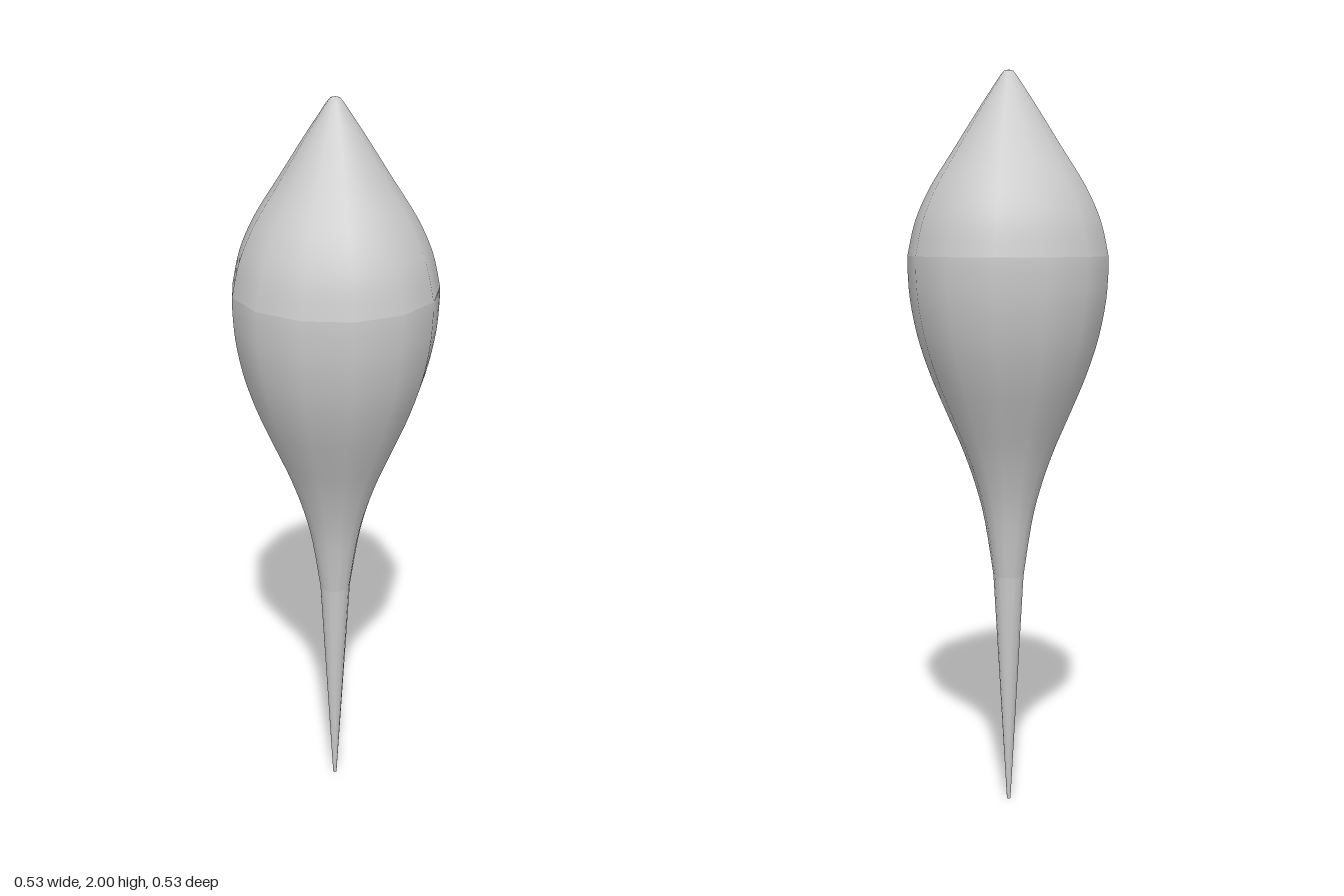
import * as THREE from 'three';

const SIDES = 13;
const material = new THREE.MeshStandardMaterial({ color: 0xcccccc, side: THREE.DoubleSide });

// Smooth profile through [radius, height] points, listed from bottom to top
function profile(points, steps) {
  const curve = new THREE.SplineCurve(points.map(([r, y]) => new THREE.Vector2(r, y)));
  return curve.getPoints(steps);
}

// Thirteen-sided turned part with one corner pointing straight back
function turned(name, points) {
  const mesh = new THREE.Mesh(new THREE.LatheGeometry(points, SIDES, Math.PI), material);
  mesh.name = name;
  return mesh;
}

export function createModel() {
  const model = new THREE.Group();
  model.name = 'teardropBulb';

  // Thin tapering stem, closed at its point
  const stem = turned('stem', [
    new THREE.Vector2(0, 0),
    new THREE.Vector2(0.005, 0.002),
    new THREE.Vector2(0.042, 0.65),
  ]);

  // Lower bulb, flaring from the stem to the widest ring
  const lowerBulb = turned('lowerBulb', profile([
    [0.042, 0.65], [0.065, 0.8], [0.09, 0.9], [0.125, 1.0], [0.168, 1.1],
    [0.21, 1.2], [0.243, 1.3], [0.263, 1.4], [0.269, 1.48], [0.269, 1.52],
  ], 28));

  // Upper bulb, closing in to a small rounded tip
  const upperBulb = turned('upperBulb', [
    ...profile([
      [0.269, 1.52], [0.248, 1.61], [0.207, 1.7], [0.143, 1.8],
      [0.079, 1.9], [0.022, 1.985],
    ], 20),
    new THREE.Vector2(0.012, 1.997),
    new THREE.Vector2(0, 2),
  ]);

  model.add(stem, lowerBulb, upperBulb);
  // Offset that centres the odd-sided outline in depth
  model.position.z = 0.004;
  return model;
}
